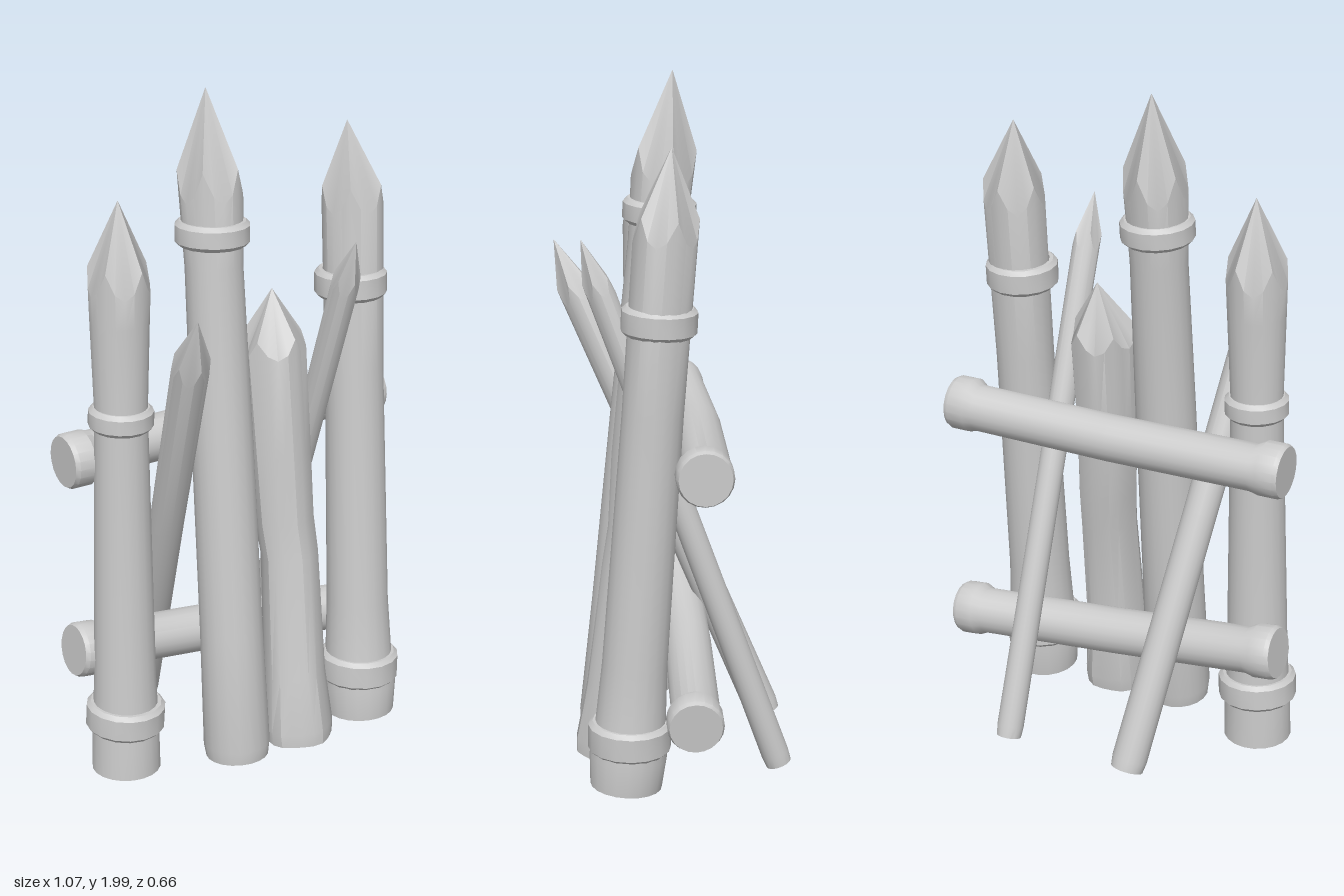
import * as THREE from 'three';
import { toCreasedNormals } from 'three/addons/utils/BufferGeometryUtils.js';

const SIDES = 20;
const material = new THREE.MeshStandardMaterial({ color: 0xcccccc });

// Log along +y from 0 to length. rings: [fraction, radius, dx, dz].
// point: length of the hewn tip (0 = sawn flat); facets: cuts around the tip; flat: how angular the bark is.
function logGeometry({ length, rings, point = 0, facets = 5, turn = 0, flat = 0 }) {
  const pos = [], index = [];
  const step = (Math.PI * 2) / facets;
  rings.forEach(([f, r, dx = 0, dz = 0], k) => {
    const last = k === rings.length - 1;
    for (let i = 0; i < SIDES; i++) {
      const a = (i / SIDES) * Math.PI * 2;
      const delta = ((i * facets / SIDES) % 1 - 0.5) * step;
      // the facet planes meet the trunk in scallops
      const y = last && point ? length - point * (1.5 * Math.cos(delta) - 0.5) : f * length;
      const rad = r * (1 + flat * Math.cos(a * 5 + 0.6 + f));
      pos.push(dx + Math.sin(a + turn) * rad, y, dz + Math.cos(a + turn) * rad);
    }
  });
  const n = rings.length;
  for (let k = 0; k < n - 1; k++) {
    for (let i = 0; i < SIDES; i++) {
      const j = (i + 1) % SIDES, p = k * SIDES, q = p + SIDES;
      index.push(p + i, p + j, q + j, p + i, q + j, q + i);
    }
  }
  // end fans
  const [, , bx = 0, bz = 0] = rings[0];
  pos.push(bx, 0, bz, 0, length, 0);
  const base = n * SIDES, top = base + 1, q = (n - 1) * SIDES;
  for (let i = 0; i < SIDES; i++) {
    const j = (i + 1) % SIDES;
    index.push(base, j, i, q + i, q + j, top);
  }
  const g = new THREE.BufferGeometry();
  g.setAttribute('position', new THREE.Float32BufferAttribute(pos, 3));
  g.setIndex(index);
  return toCreasedNormals(g, 0.5);
}

// Bevelled binding: a closed profile turned round the trunk
function bandGeometry(radius, height) {
  const h = height / 2, inner = radius * 0.78, b = 0.012;
  const profile = [[inner, -h], [radius - b, -h], [radius, -h + b], [radius, h - b], [radius - b, h], [inner, h], [inner, -h]]
    .map(([x, y]) => new THREE.Vector2(x, y));
  return toCreasedNormals(new THREE.LatheGeometry(profile, 16), 0.5);
}

// bands: [world height, radius, height]
function addLog(group, name, from, to, options, bands = []) {
  const a = new THREE.Vector3(...from), b = new THREE.Vector3(...to);
  const dir = b.clone().sub(a), length = dir.length();
  const part = new THREE.Group();
  part.name = name;
  part.position.copy(a);
  part.quaternion.setFromUnitVectors(new THREE.Vector3(0, 1, 0), dir.normalize());
  const trunk = new THREE.Mesh(logGeometry({ length, ...options }), material);
  trunk.name = name + 'Trunk';
  part.add(trunk);
  bands.forEach(([y, r, h], i) => {
    const band = new THREE.Mesh(bandGeometry(r, h), material);
    band.name = name + 'Band';
    band.position.y = (y - a.y) / dir.y;
    band.rotation.set(0.05, i, -0.03);
    part.add(band);
  });
  group.add(part);
}

export function createModel() {
  const g = new THREE.Group();
  g.name = 'palisade';

  // upright stakes
  addLog(g, 'outerRightStake', [-0.42, 0.03, 0.075], [-0.39, 1.74, 0.035],
    { rings: [[0, 0.1], [0.06, 0.098], [0.17, 0.09], [0.65, 0.075], [0.8, 0.083], [0.87, 0.086]], point: 0.26, turn: 0.3 },
    [[0.2, 0.115, 0.085], [1.12, 0.092, 0.065]]);
  addLog(g, 'innerRightStake', [-0.105, 0.025, 0.185], [-0.09, 2, 0],
    { rings: [[0, 0.092], [0.02, 0.098], [0.2, 0.092], [0.5, 0.088], [0.75, 0.082], [0.86, 0.09]], point: 0.31, turn: 0.5 },
    [[1.6, 0.106, 0.07]]);
  addLog(g, 'innerLeftStake', [0.105, 0.025, 0.195], [0.1, 1.4, 0.045],
    { rings: [[0, 0.1], [0.03, 0.104], [0.15, 0.09], [0.42, 0.083, 0.006], [0.5, 0.085, 0, -0.008], [0.65, 0.088, -0.006], [0.88, 0.092, -0.008]],
      point: 0.19, turn: 0.2, flat: 0.04 });
  addLog(g, 'outerLeftStake', [0.352, 0.03, 0.165], [0.357, 1.85, 0.035],
    { rings: [[0, 0.102], [0.05, 0.11], [0.1, 0.1], [0.2, 0.092], [0.6, 0.085, 0.006], [0.87, 0.088, 0.012]], point: 0.26, turn: 0.6 },
    [[0.18, 0.118, 0.09], [1.38, 0.105, 0.08]]);

  // slanting thin stakes that lean through the fence
  const thin = r => [[0, r * 0.92], [0.02, r], [0.5, r * 0.95], [0.9, r]];
  addLog(g, 'rightSlantingStake', [-0.16, 0.03, -0.285], [-0.325, 1.475, 0.335], { rings: thin(0.052), point: 0.2 });
  addLog(g, 'leftSlantingStake', [0.235, 0.03, -0.285], [0.225, 1.58, 0.275], { rings: thin(0.04), point: 0.17 });

  // cross beams with swollen ends
  const beam = bow => [[0, 0.074], [0.012, 0.08], [0.06, 0.08], [0.085, 0.069, 0, bow / 2], [0.5, 0.069, 0, bow],
    [0.915, 0.069, 0, bow / 2], [0.94, 0.08], [0.988, 0.08], [1, 0.074]];
  addLog(g, 'upperBeam', [-0.535, 0.98, -0.045], [0.525, 0.977, -0.045], { rings: beam(-0.02) });
  addLog(g, 'lowerBeam', [-0.525, 0.388, -0.035], [0.53, 0.265, -0.02], { rings: beam(-0.01) });
  return g;
}
